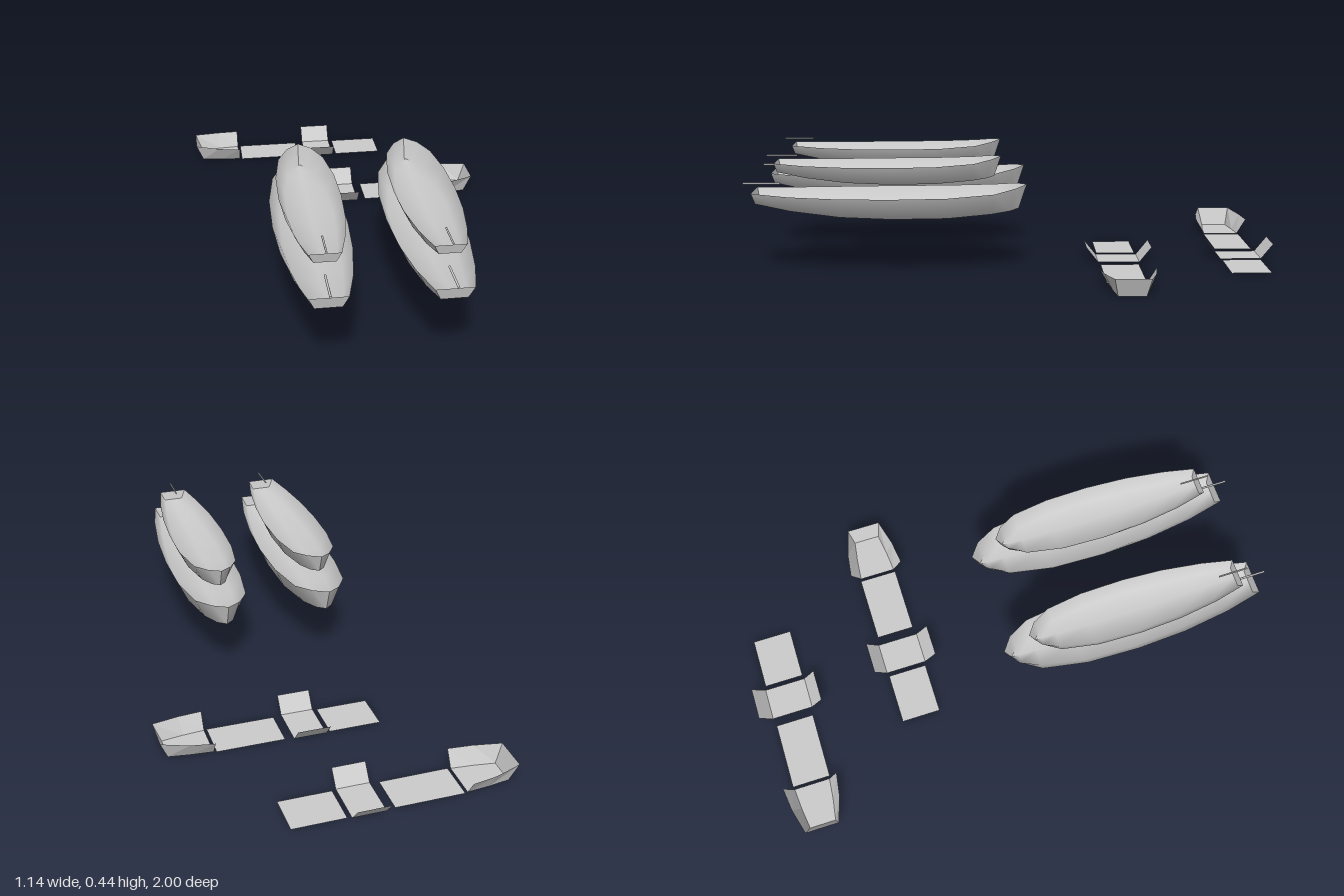
import * as THREE from 'three';

const smooth = new THREE.MeshStandardMaterial({ color: 0xcccccc, side: THREE.DoubleSide });
const flat = new THREE.MeshStandardMaterial({ color: 0xcccccc, side: THREE.DoubleSide, flatShading: true });

// Skin a series of cross-sections, each an equal-length list of [x, y, z]
function loft(rows, name, material) {
  const n = rows[0].length, index = [];
  for (let i = 0; i < rows.length - 1; i++) {
    for (let j = 0; j < n - 1; j++) {
      const a = i * n + j, b = a + n;
      index.push(a, a + 1, b, b, a + 1, b + 1);
    }
  }
  const geometry = new THREE.BufferGeometry();
  geometry.setAttribute('position', new THREE.Float32BufferAttribute(rows.flat(2), 3));
  geometry.setIndex(index);
  geometry.computeVertexNormals();
  const mesh = new THREE.Mesh(geometry, material);
  mesh.name = name;
  return mesh;
}

// Hull stations, stern to bow: gunwale z, half width, height; floor z, half width, height
const stations = [
  [0.96, 0.065, 0.09, 0.95, 0.045, 0.048],
  [0.82, 0.097, 0.083, 0.82, 0.066, 0.025],
  [0.64, 0.122, 0.08, 0.64, 0.086, 0.006],
  [0.45, 0.132, 0.08, 0.45, 0.097, 0],
  [0.25, 0.127, 0.082, 0.25, 0.09, 0.001],
  [0.08, 0.1, 0.091, 0.09, 0.062, 0.01],
  [0.0, 0.054, 0.104, 0.02, 0.032, 0.016],
  [-0.04, 0, 0.11, -0.01, 0, 0.02],
];

// Open boat with a blunt stern, pointed bow and a tiller above the stern
function makeBoat(name) {
  const boat = new THREE.Group();
  boat.name = name;
  const rows = stations.map(([zt, wt, yt, zb, wb, yb]) =>
    [[-wt, yt, zt], [-wb, yb, zb], [0, yb, zb], [wb, yb, zb], [wt, yt, zt]]);
  boat.add(loft(rows, 'hullShell', smooth));

  const s = rows[0];
  boat.add(loft([[s[0], s[4]], [s[1], s[3]]], 'transom', flat));

  const tiller = new THREE.Mesh(new THREE.CylinderGeometry(0.004, 0.004, 0.135, 8), smooth);
  tiller.name = 'tiller';
  tiller.rotation.x = Math.PI / 2;
  tiller.position.set(0, 0.115, 0.9325);
  boat.add(tiller);
  return boat;
}

// Flat floor panel between two x positions
function makeFloor(x0, x1, halfWidth, name) {
  const panel = new THREE.Mesh(new THREE.PlaneGeometry(x1 - x0, halfWidth * 2), flat);
  panel.rotation.x = -Math.PI / 2;
  panel.position.x = (x0 + x1) / 2;
  panel.name = name;
  return panel;
}

// Channel section: sloping walls either side of a flat floor
const channel = (xt, wt, yt, xb, wb) => [[xt, yt, -wt], [xb, 0, -wb], [xb, 0, wb], [xt, yt, wt]];

// Row of separate hull panels lying on the ground
function makePanelRow(name) {
  const row = new THREE.Group();
  row.name = name;
  const end = [
    channel(-0.38, 0.105, 0.06, -0.38, 0.069),
    channel(-0.47, 0.093, 0.063, -0.46, 0.062),
    channel(-0.57, 0.065, 0.07, -0.542, 0.05),
  ];
  row.add(loft(end, 'endSection', flat));
  const e = end[2];
  row.add(loft([[e[0], e[3]], [e[1], e[2]]], 'endWall', flat));
  row.add(makeFloor(-0.37, -0.115, 0.073, 'longFloorPanel'));
  row.add(loft([channel(-0.083, 0.125, 0.058, -0.083, 0.079),
    channel(0.04, 0.125, 0.058, 0.04, 0.079)], 'middleSection', flat));
  row.add(makeFloor(0.055, 0.25, 0.075, 'shortFloorPanel'));
  return row;
}

export function createModel() {
  const model = new THREE.Group();
  model.name = 'boatsAndPanels';

  // Two stacks, each with a smaller boat above a larger one
  for (const side of [-1, 1]) {
    const label = side > 0 ? 'left' : 'right';
    const lower = makeBoat(label + 'LowerBoat');
    lower.position.set(side * 0.2, 0.22, 0);
    const upper = makeBoat(label + 'UpperBoat');
    upper.scale.setScalar(0.82);
    upper.position.set(side * 0.2, 0.345, 0.088);
    model.add(lower, upper);
  }

  // Two panel rows, turned end for end
  const rear = makePanelRow('rearPanelRow');
  rear.position.z = -0.875;
  const front = makePanelRow('frontPanelRow');
  front.position.z = -0.397;
  front.rotation.y = Math.PI;
  model.add(rear, front);
  return model;
}
